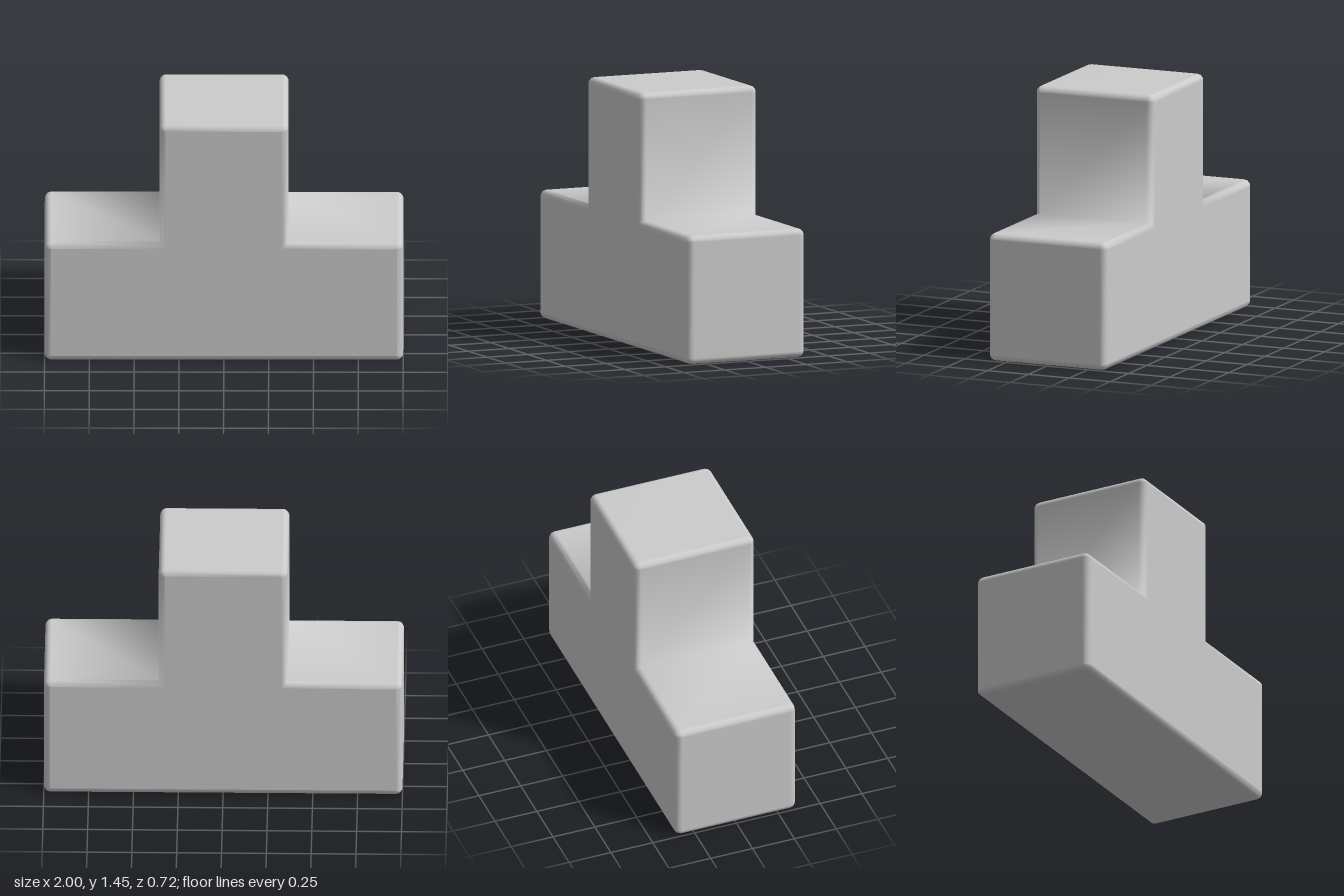
import * as THREE from 'three';
import { mergeVertices } from 'three/addons/utils/BufferGeometryUtils.js';

const R = 0.036;       // edge rounding
const HALF = 0.36;     // half the width of one cube
const ARM = 0.725;     // height of the bar
const TOP = 1.445;     // height of the stem

// T outline, counter-clockwise, with rounded outer corners and sharp inner ones
function outline() {
  const s = new THREE.Shape();
  const q = Math.PI / 2;
  // corner: centre of the rounding and the quarter it starts at
  const round = (x, y, quarter) => s.absarc(x, y, R, quarter * q, (quarter + 1) * q, false);
  s.moveTo(-1 + R, 0);
  round(1 - R, R, 3);
  round(1 - R, ARM - R, 0);
  s.lineTo(HALF, ARM);
  round(HALF - R, TOP - R, 0);
  round(-HALF + R, TOP - R, 1);
  s.lineTo(-HALF, ARM);
  round(-1 + R, ARM - R, 1);
  round(-1 + R, R, 2);
  return s;
}

export function createModel() {
  const group = new THREE.Group();
  group.name = 'tBlock';

  // Solid block with beveled front and back edges
  const depth = 2 * (HALF - R);
  const bevel = R - 0.001;
  let geo = new THREE.ExtrudeGeometry(outline(), {
    depth, curveSegments: 3,
    bevelEnabled: true, bevelThickness: R, bevelSize: bevel, bevelOffset: -bevel, bevelSegments: 3,
  });
  geo.translate(0, 0, -depth / 2);

  // Fully smooth normals, shared across the edges
  geo.deleteAttribute('uv');
  geo.deleteAttribute('normal');
  geo = mergeVertices(geo, 1e-4);
  geo.computeVertexNormals();

  const block = new THREE.Mesh(geo, new THREE.MeshStandardMaterial({ color: 0xcccccc }));
  block.name = 'block';
  group.add(block);
  return group;
}
